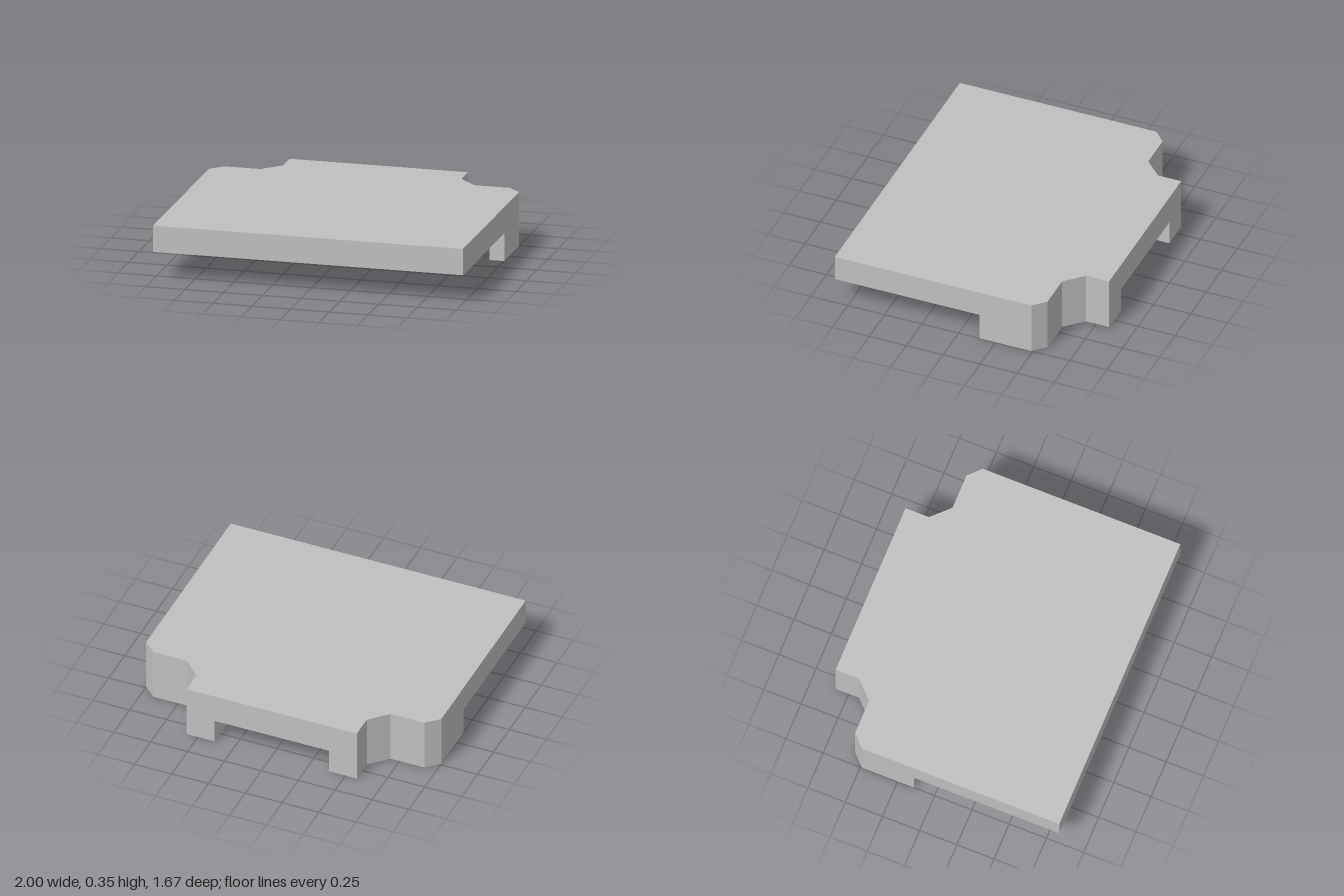
import * as THREE from 'three';

const TOP = 0.35, SLAB_BOTTOM = 0.18, LINTEL_BOTTOM = 0.16;
const BACK = -0.837, FRONT = 0.837;

// Extrude a plan outline of [x, z] points between two heights
function prism(points, y0, y1) {
  const shape = new THREE.Shape(points.map(([x, z]) => new THREE.Vector2(x, -z)));
  const geometry = new THREE.ExtrudeGeometry(shape, { depth: y1 - y0, bevelEnabled: false });
  return geometry.rotateX(-Math.PI / 2).translate(0, y0, 0);
}

const mirror = (points) => points.map(([x, z]) => [-x, z]);

export function createModel() {
  const group = new THREE.Group();
  const grey = new THREE.MeshStandardMaterial({ color: 0xc0c0c0 });
  grey.name = 'plain grey';

  const add = (name, geometry) => {
    const mesh = new THREE.Mesh(geometry, grey);
    mesh.name = name;
    group.add(mesh);
  };

  // Stepped, chamfered rear edge on the left half, from side to back
  const edge = [[1, -0.49], [0.92, -0.567], [0.69, -0.567], [0.577, -0.68], [0.577, BACK]];

  // Flat top plate
  const half = [[1, FRONT], ...edge];
  add('topPlate', prism([...half, ...mirror(half).reverse()], SLAB_BOTTOM, TOP));

  // Rear corner walls following the plate edge
  const wall = [
    [1, -0.14], ...edge,
    [0.387, BACK], [0.387, -0.614], [0.508, -0.614],
    [0.65, -0.472], [0.882, -0.472], [0.905, -0.45], [0.905, -0.14],
  ];
  add('leftCornerWall', prism(wall, 0, SLAB_BOTTOM));
  add('rightCornerWall', prism(mirror(wall), 0, SLAB_BOTTOM));

  // Shallow lintel over the rear opening
  const lintel = [[0.387, BACK], [-0.387, BACK], [-0.387, -0.614], [0.387, -0.614]];
  add('rearLintel', prism(lintel, LINTEL_BOTTOM, SLAB_BOTTOM));

  return group;
}
